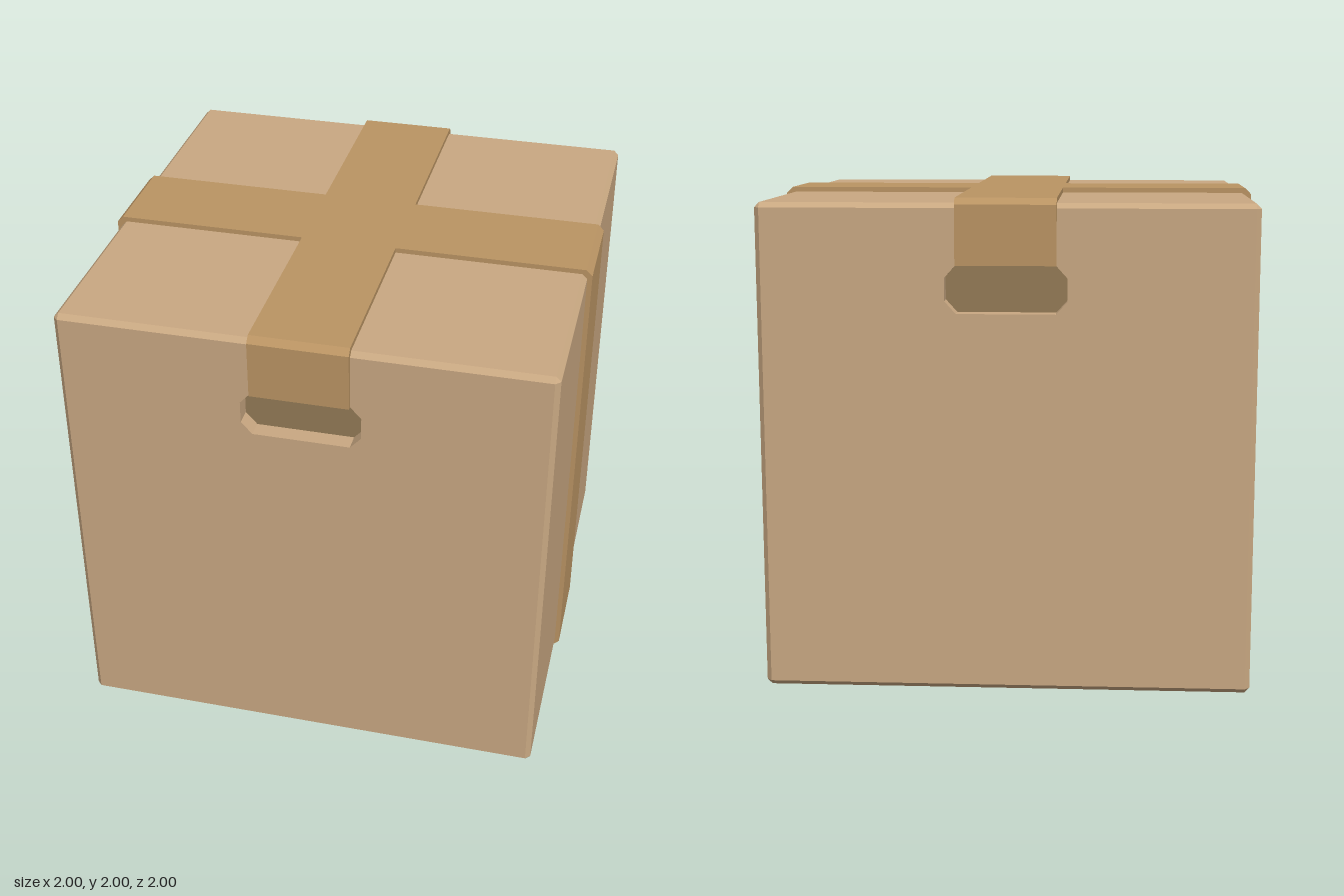
import * as THREE from 'three';

const H = 0.98, IN = 0.96; // half size of the carton, and of its flat faces inside the bevel
const TAPE = 0.197; // half width of the tape
const RECESS = 0.07;

const material = (color, side = THREE.FrontSide) =>
  new THREE.MeshStandardMaterial({ color, side, roughness: 0.9 });

// Square with cut corners, counter-clockwise
const cutSquare = (h, c) => [
  [h, -c], [h, c], [c, h], [-c, h], [-c, -0 + h], [-h, c], [-h, -c], [-c, -h], [c, -h],
].filter((p, i, a) => i === 0 || p[0] !== a[i - 1][0] || p[1] !== a[i - 1][1]);

const vectors = (pts) => pts.map(([x, y]) => new THREE.Vector2(x, y));

// Skin joining cross-sections { z, pts } listed from back to front
function loft(sections) {
  const pos = [];
  for (let s = 0; s < sections.length - 1; s++) {
    const a = sections[s], b = sections[s + 1], n = a.pts.length;
    for (let i = 0; i < n; i++) {
      const j = (i + 1) % n;
      const p = [...a.pts[i], a.z], q = [...a.pts[j], a.z];
      const r = [...b.pts[j], b.z], t = [...b.pts[i], b.z];
      pos.push(...p, ...q, ...r, ...p, ...r, ...t);
    }
  }
  const g = new THREE.BufferGeometry();
  g.setAttribute('position', new THREE.Float32BufferAttribute(pos, 3));
  g.computeVertexNormals();
  return g;
}

export function createModel() {
  const model = new THREE.Group();
  const card = material(0xc9a882);
  const cardInside = material(0xc9a882, THREE.DoubleSide);
  const tape = material(0xba9463);
  const dark = material(0x937a56);

  const add = (parent, name, geometry, mat) => {
    const mesh = new THREE.Mesh(geometry, mat);
    mesh.name = name;
    parent.add(mesh);
    return mesh;
  };

  // Everything is built around the carton's centre, then lifted to stand on the ground
  const box = new THREE.Group();
  box.name = 'carton';
  box.position.y = 1;
  model.add(box);

  // Four side walls with narrow bevels
  const wide = cutSquare(H, IN), narrow = cutSquare(IN, IN - 1e-5);
  add(box, 'cartonWalls', loft([
    { z: -H, pts: narrow }, { z: -IN, pts: wide },
    { z: IN, pts: wide }, { z: H, pts: narrow },
  ]), card);

  // Front and back panels, each with a recessed hand hole
  const hole = [
    [0.24, 0.6], [0.24, 0.69], [0.195, 0.74], [-0.195, 0.74],
    [-0.24, 0.69], [-0.24, 0.6], [-0.195, 0.55], [0.195, 0.55],
  ];
  const panelShape = new THREE.Shape(vectors([[-IN, -IN], [IN, -IN], [IN, IN], [-IN, IN]]));
  panelShape.holes.push(new THREE.Path(vectors(hole)));
  for (const [side, turn] of [['front', 0], ['back', Math.PI]]) {
    const end = new THREE.Group();
    end.name = side + 'End';
    end.rotation.y = turn;
    box.add(end);
    add(end, side + 'Panel', new THREE.ShapeGeometry(panelShape), card).position.z = H;
    add(end, side + 'HandleRim',
      loft([{ z: H - RECESS, pts: hole }, { z: H, pts: hole }]), cardInside);
    add(end, side + 'HandleRecess',
      new THREE.ShapeGeometry(new THREE.Shape(vectors(hole))), dark).position.z = H - RECESS;
  }

  const extrudeTape = (shape) => new THREE.ExtrudeGeometry(shape,
    { depth: 2 * TAPE, bevelEnabled: false }).translate(0, 0, -TAPE);

  // Tape band running all the way round, over the left and right sides
  const band = new THREE.Shape(vectors(cutSquare(1, 0.975)));
  band.holes.push(new THREE.Path(vectors(cutSquare(H, IN))));
  add(box, 'tapeBand', extrudeTape(band), tape);

  // Tape strip over the top, folded down to the hand holes
  const strip = new THREE.Shape(vectors([
    [1, 0.74], [1, 0.975], [0.975, 1], [-0.975, 1], [-1, 0.975], [-1, 0.74],
    [-H, 0.74], [-H, IN], [-IN, H], [IN, H], [H, IN], [H, 0.74],
  ]));
  add(box, 'tapeStrip', extrudeTape(strip).rotateY(Math.PI / 2), tape);

  return model;
}
